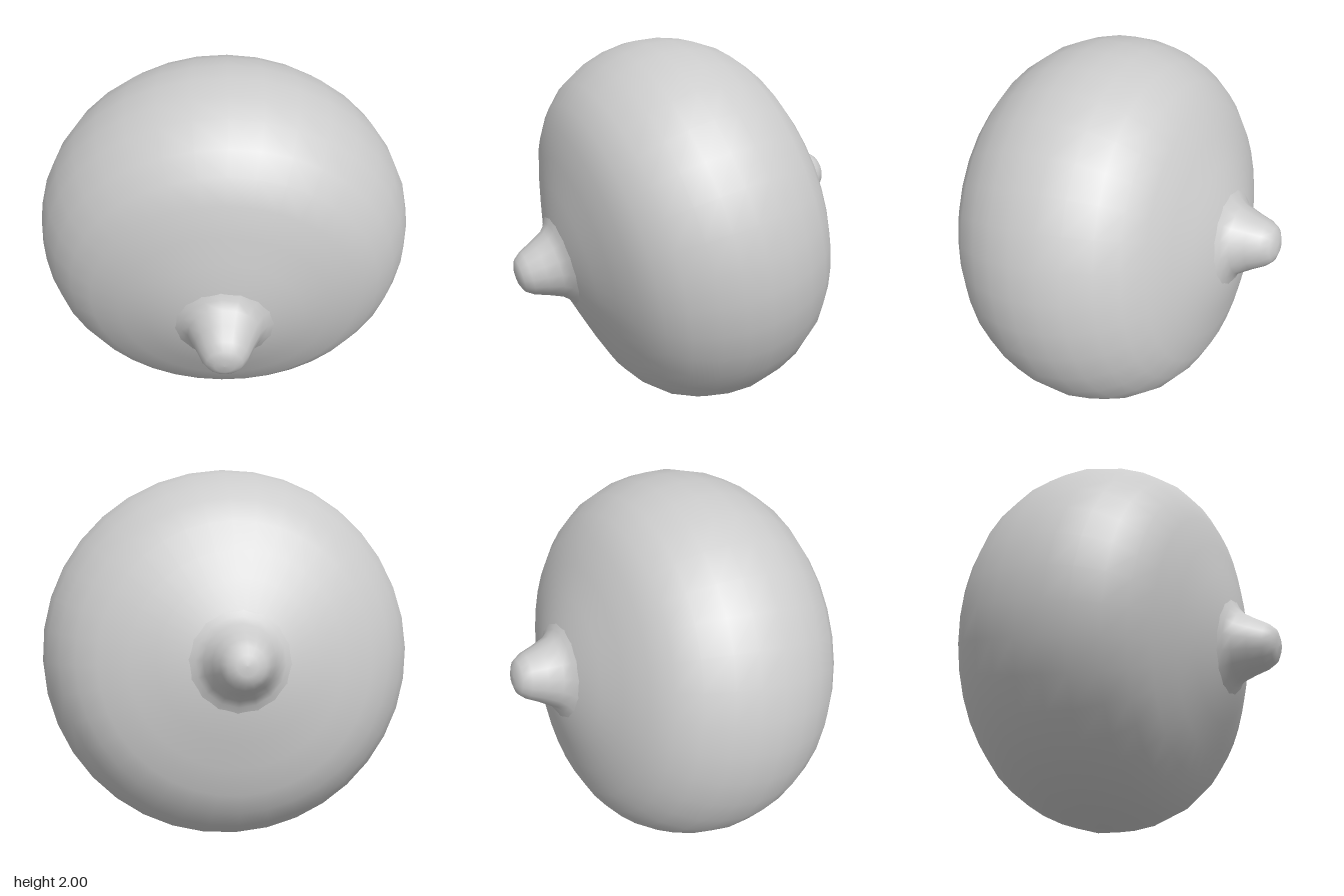
import * as THREE from 'three';

const material = new THREE.MeshStandardMaterial({ color: 0xcccccc });

// Revolved part around the local y axis; points are [radius, height]
function revolve(name, points, segments) {
  const pts = points.map(([r, h]) => new THREE.Vector2(r, h));
  const mesh = new THREE.Mesh(new THREE.LatheGeometry(pts, segments), material);
  mesh.name = name;
  return mesh;
}

export function createModel() {
  const group = new THREE.Group();
  group.name = 'knobbedDisc';

  // Thick rounded disc with gently conical faces, mirrored about its middle
  const half = [
    [1.01, 0], [0.995, 0.13], [0.96, 0.25], [0.89, 0.38], [0.8, 0.475],
    [0.69, 0.548], [0.54, 0.605], [0.4, 0.652], [0.25, 0.7], [0.12, 0.72], [0, 0.725],
  ];
  const lower = half.slice(1).reverse().map(([r, h]) => [r, -h]);
  group.add(revolve('discBody', [...lower, ...half], 36));

  // Blunt tapered knob with a small flare at its foot, one on each face
  const knob = [
    [0.28, 0.685], [0.22, 0.715], [0.185, 0.75], [0.15, 0.82],
    [0.12, 0.89], [0.09, 0.93], [0.05, 0.947], [0, 0.95],
  ];
  for (const [name, turn] of [['backKnob', 0], ['frontKnob', Math.PI]]) {
    const mesh = revolve(name, knob, 16);
    mesh.rotation.x = turn;
    group.add(mesh);
  }

  // Tilt the axis of revolution and raise the disc onto the floor
  const axis = new THREE.Vector3(0.646, 0.172, -0.743).normalize();
  group.quaternion.setFromUnitVectors(new THREE.Vector3(0, 1, 0), axis);
  group.position.y = 1;
  return group;
}
